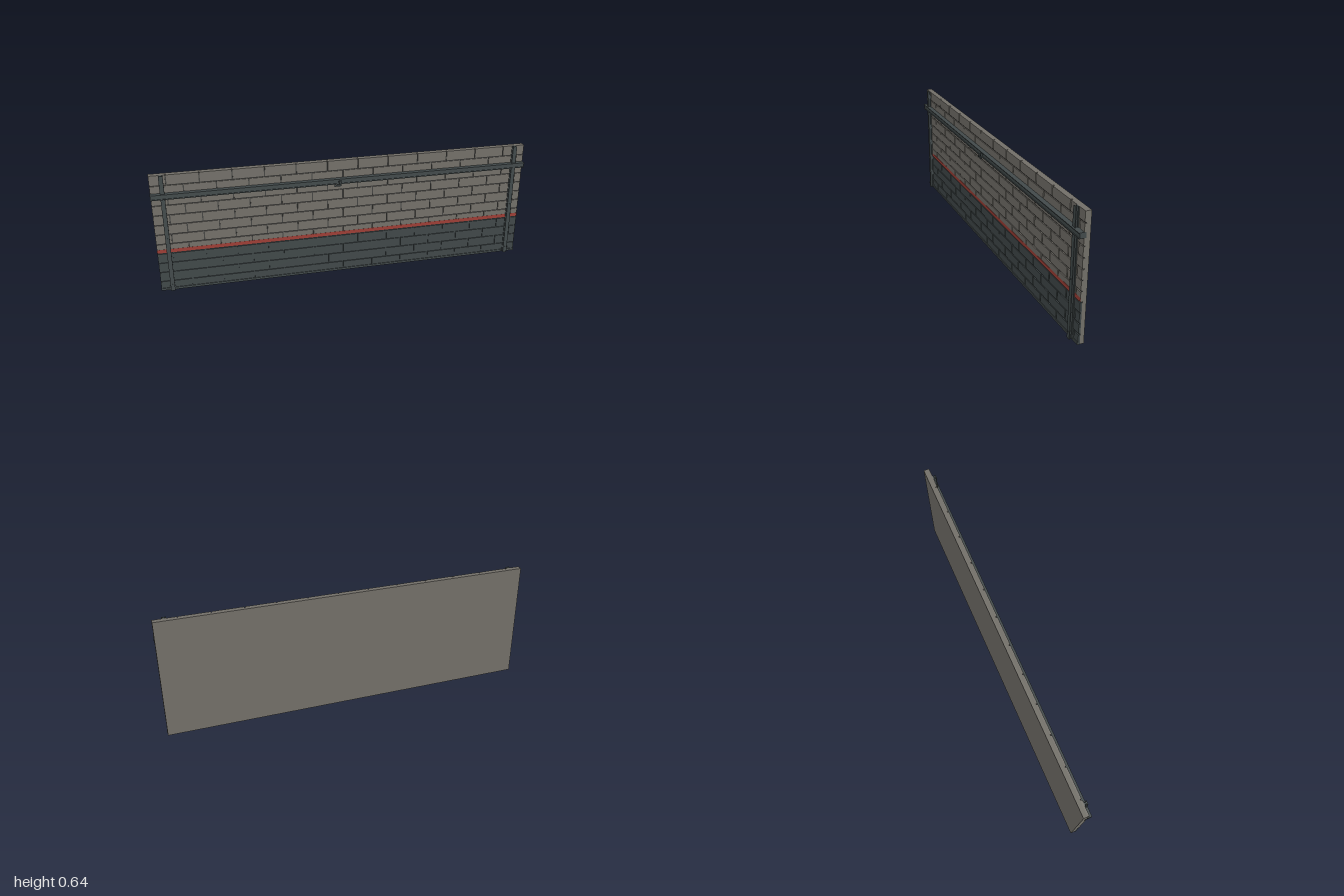
import * as THREE from 'three';

const material = (name, color) => {
  const m = new THREE.MeshStandardMaterial({ color });
  m.name = name;
  return m;
};

export function createModel() {
  const concrete = material('concrete grey', 0x74716a);
  const paint = material('dark paint', 0x41494a);
  const steel = material('dark steel', 0x434b4c);
  const red = material('red stripe', 0x9f3f36);
  const mortar = material('mortar', 0x454543);

  const model = new THREE.Group();
  model.name = 'blockWall';

  // Box given by its lower and upper limits on each axis
  const box = (parent, name, mat, x0, x1, y0, y1, z0, z1) => {
    const mesh = new THREE.Mesh(new THREE.BoxGeometry(x1 - x0, y1 - y0, z1 - z0), mat);
    mesh.position.set((x0 + x1) / 2, (y0 + y1) / 2, (z0 + z1) / 2);
    mesh.name = name;
    parent.add(mesh);
    return mesh;
  };
  const group = (name) => {
    const g = new THREE.Group();
    g.name = name;
    model.add(g);
    return g;
  };

  // Backing slab and the recessed mortar bed
  const HALF = 0.999, HEIGHT = 0.645, ROWS = 12, PAINTED_ROWS = 4;
  const pitchY = HEIGHT / ROWS, pitchX = 0.163, gap = 0.006;
  box(model, 'backingSlab', concrete, -HALF, HALF, 0, HEIGHT, -0.03, -0.01);
  box(model, 'upperMortar', mortar, -HALF + 0.001, HALF - 0.001,
    PAINTED_ROWS * pitchY, HEIGHT - 0.004, -0.01, -0.005);
  box(model, 'lowerMortar', paint, -HALF + 0.001, HALF - 0.001,
    0.001, PAINTED_ROWS * pitchY, -0.01, -0.005);

  // Running-bond blocks, every other row shifted by half a block
  const blocks = group('blocks');
  for (let row = 0; row < ROWS; row++) {
    const y0 = row * pitchY + (row ? gap / 2 : 0);
    const y1 = (row + 1) * pitchY - (row < ROWS - 1 ? gap / 2 : 0);
    const mat = row < PAINTED_ROWS ? paint : concrete;
    const joints = [];
    for (let k = -8; k <= 8; k++) {
      const x = (row % 2 ? 0.061 : 0.143) + k * pitchX;
      if (Math.abs(x) < HALF - 0.01) joints.push(x);
    }
    for (let i = 0; i <= joints.length; i++) {
      const x0 = i === 0 ? -HALF : joints[i - 1] + gap / 2;
      const x1 = i === joints.length ? HALF : joints[i] - gap / 2;
      box(blocks, 'block', mat, x0, x1, y0, y1, -0.01, 0);
    }
  }

  // Painted stripe above the dark dado, and the skirting strip
  box(model, 'redStripe', red, -HALF, HALF, 0.218, 0.237, -0.004, 0.001);
  box(model, 'skirting', steel, -1, 1, 0, 0.012, -0.002, 0.004);

  // H-section posts with flanges against the wall and at the front
  for (const side of [-1, 1]) {
    const post = group(side > 0 ? 'leftPost' : 'rightPost');
    const x = side * 0.94;
    box(post, 'rearFlange', steel, x - 0.011, x + 0.011, 0, HEIGHT, -0.001, 0.004);
    box(post, 'web', steel, x - 0.004, x + 0.004, 0, HEIGHT, 0.004, 0.013);
    box(post, 'frontFlange', steel, x - 0.011, x + 0.011, 0, HEIGHT, 0.013, 0.017);
    box(post, 'foot', steel, x - 0.015, x + 0.015, 0, 0.022, 0, 0.006);
    for (const y of [0.037, 0.305]) {
      const bolt = new THREE.Mesh(new THREE.CylinderGeometry(0.003, 0.003, 0.004, 6), steel);
      bolt.rotation.x = Math.PI / 2;
      bolt.position.set(x, y, 0.0185);
      bolt.name = 'bolt';
      post.add(bolt);
    }
  }

  // Channel rail running the full width
  const rail = group('rail');
  box(rail, 'railBody', steel, -1, 1, 0.525, 0.547, -0.01, 0.02);
  box(rail, 'topLip', steel, -1, 1, 0.546, 0.55, -0.01, 0.025);
  box(rail, 'bottomLip', steel, -1, 1, 0.522, 0.526, -0.01, 0.024);

  // Small hook hanging on the rail
  const hook = group('hook');
  box(hook, 'hookStem', steel, -0.042, -0.034, 0.514, 0.542, 0.024, 0.028);
  box(hook, 'hookFoot', steel, -0.07, -0.034, 0.512, 0.52, 0.024, 0.029);
  box(hook, 'hookTip', steel, -0.07, -0.064, 0.512, 0.526, 0.024, 0.03);
  box(hook, 'hookMount', steel, -0.046, -0.032, 0.53, 0.54, 0.018, 0.026);

  return model;
}
